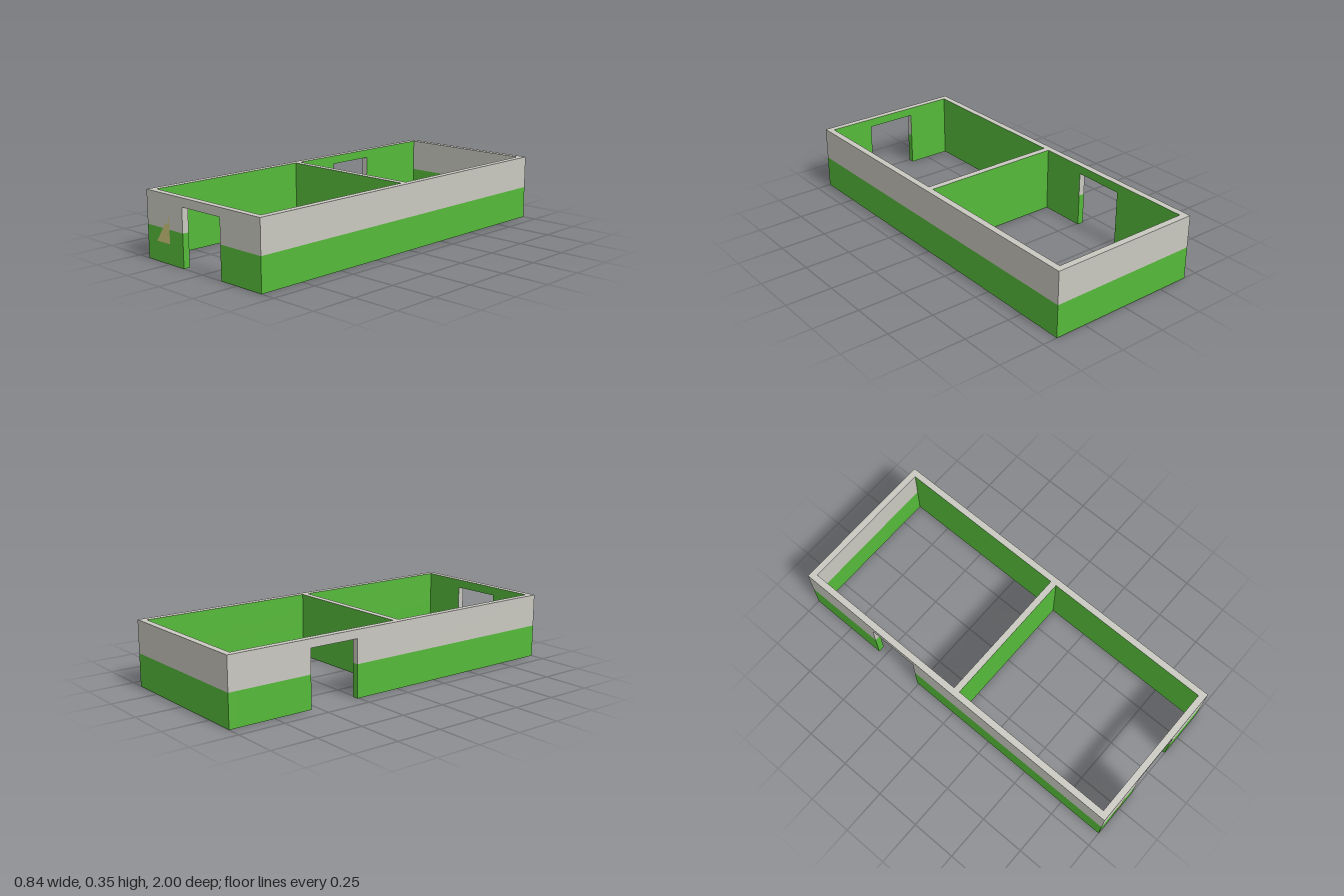
import * as THREE from 'three';

const W = 0.42, D = 1, H = 0.35, T = 0.035; // half width, half depth, height, wall thickness
const MID = 0.175, DOOR_TOP = 0.304;         // paint line and top of the doorways
const IX = W - T, IZ = D - T;                // inner faces

export function createModel() {
  const model = new THREE.Group();
  model.name = 'walledRooms';
  const paint = (name, color) => Object.assign(new THREE.MeshStandardMaterial({ color }), { name });
  const green = paint('green', 0x56ba3a);
  const grey = paint('paleGrey', 0xc9c8c0);
  const sand = paint('sand', 0xcbc57b);
  const materials = [green, grey];

  // Box between limits; faces lists +x -x +y -y +z -z: g green, w grey, - left out.
  function block(name, x0, x1, y0, y1, z0, z1, faces) {
    const box = new THREE.BoxGeometry(x1 - x0, y1 - y0, z1 - z0);
    box.translate((x0 + x1) / 2, (y0 + y1) / 2, (z0 + z1) / 2);
    const source = Array.from(box.index.array), index = [];
    box.clearGroups();
    [...faces].forEach((f, i) => {
      if (f === '-') return;
      box.addGroup(index.length, 6, f === 'g' ? 0 : 1);
      index.push(...source.slice(i * 6, i * 6 + 6));
    });
    box.setIndex(index);
    const mesh = new THREE.Mesh(box, materials);
    mesh.name = name;
    return mesh;
  }

  // Stretch of wall: green lower band, upper band painted face by face.
  function wall(name, x0, x1, z0, z1, upper) {
    const lower = [...upper].map((f, i) => (i === 2 ? '-' : i === 3 ? 'g' : f === '-' ? '-' : 'g')).join('');
    const group = new THREE.Group();
    group.name = name;
    group.add(
      block(name + 'Lower', x0, x1, 0, MID, z0, z1, lower),
      block(name + 'Upper', x0, x1, MID, H, z0, z1, upper));
    model.add(group);
  }

  // Front wall with a central doorway
  wall('frontWallRight', -W, -0.14, IZ, D, 'www-wg');
  wall('frontWallLeft', 0.14, W, IZ, D, 'www-wg');
  model.add(block('frontLintel', -0.14, 0.14, DOOR_TOP, H, IZ, D, '--wwwg'));

  // Back wall, two-tone on both sides
  wall('backWall', -W, W, -D, -IZ, 'www-ww');

  // Side walls, the right one with a doorway into the back room
  wall('leftWall', IX, W, -IZ, IZ, 'wgw---');
  wall('rightWallBack', -W, -IX, -IZ, -0.54, 'gww-w-');
  wall('rightWallFront', -W, -IX, -0.26, IZ, 'gww--w');
  model.add(block('sideLintel', -W, -IX, DOOR_TOP, H, -0.54, -0.26, 'gwww--'));

  // Partition between the two rooms
  wall('partition', -IX, IX, -0.003, 0.032, '--w-gg');

  // Painted triangular mark beside the front doorway
  const outline = [[-0.346, 0.103], [-0.243, 0.103], [-0.243, 0.243], [-0.25, 0.235], [-0.25, 0.203], [-0.274, 0.203]];
  const shape = new THREE.Shape(outline.map(([x, y]) => new THREE.Vector2(x, y)));
  const mark = new THREE.Mesh(new THREE.ShapeGeometry(shape), sand);
  mark.name = 'wallMark';
  mark.position.z = D + 0.001;
  model.add(mark);

  return model;
}
